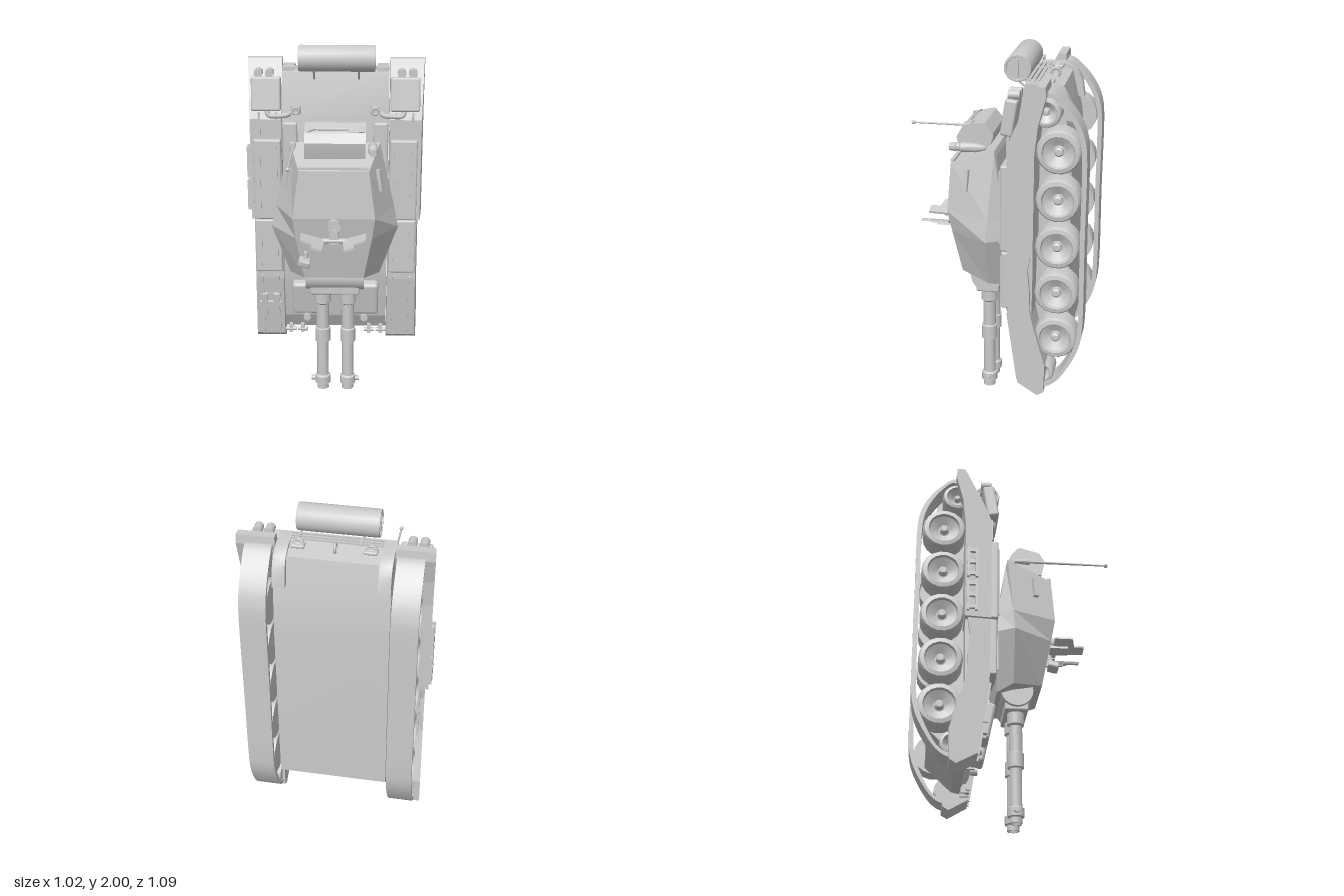
import * as THREE from 'three';
import { toCreasedNormals } from 'three/addons/utils/BufferGeometryUtils.js';
import { RoundedBoxGeometry } from 'three/addons/geometries/RoundedBoxGeometry.js';

export function createModel() {
  const root = new THREE.Group();
  const grey = new THREE.MeshStandardMaterial({ color: 0xcacaca });
  grey.name = 'plain light grey';

  const add = (name, geo, x = 0, y = 0, z = 0, rx = 0, ry = 0, rz = 0) => {
    const m = new THREE.Mesh(geo, grey);
    m.name = name;
    m.position.set(x, y, z);
    m.rotation.set(rx, ry, rz);
    root.add(m);
    return m;
  };
  const box = (w, h, d) => new THREE.BoxGeometry(w, h, d);
  const soft = (w, h, d, r = 0.01) => new RoundedBoxGeometry(w, h, d, 2, r);
  const cyl = (r, h, n = 20, r2 = r) => new THREE.CylinderGeometry(r, r2, h, n);
  const lathe = (pts, n) =>
    toCreasedNormals(new THREE.LatheGeometry(pts.map(p => new THREE.Vector2(...p)), n), 0.6);
  // side profile of [z, y] points, extruded from x0 to x1
  const side = (pts, x0, x1, hole) => {
    const s = new THREE.Shape(pts.map(([z, y]) => new THREE.Vector2(-z, y)));
    if (hole) s.holes.push(new THREE.Path(hole.map(([z, y]) => new THREE.Vector2(-z, y))));
    return new THREE.ExtrudeGeometry(s, { depth: x1 - x0, bevelEnabled: false })
      .rotateY(Math.PI / 2).translate(x0, 0, 0);
  };
  const tube = (pts, r) => new THREE.TubeGeometry(
    new THREE.CatmullRomCurve3(pts.map(p => new THREE.Vector3(...p))), 16, r, 8);
  const H = Math.PI / 2;

  // Hull
  add('hull', toCreasedNormals(side([[-0.45, 0.42], [-0.45, 1.4], [-0.435, 1.6], [-0.385, 1.83], [-0.27, 1.86],
    [-0.19, 1.84], [-0.14, 1.6], [-0.14, 0.68], [-0.15, 0.6], [-0.2, 0.36], [-0.25, 0.27], [-0.3, 0.28]],
  -0.3, 0.3), 0.3));
  for (let i = 0; i < 3; i++) add('rearLouvre', box(0.54, 0.012, 0.012), 0, 1.858, -0.255 + i * 0.025);
  for (const x of [-0.12, 0.2]) add('louvreRib', box(0.015, 0.012, 0.09), x, 1.86, -0.23);
  for (const x of [-0.18, 0.19]) {
    add('rearTowBase', soft(0.07, 0.02, 0.05, 0.008), x, 1.86, -0.315);
    add('rearTowEye', new THREE.TorusGeometry(0.02, 0.008, 8, 14), x, 1.868, -0.3, H);
  }
  add('rearHitch', new THREE.TorusGeometry(0.022, 0.008, 8, 14), 0, 1.865, -0.32, 0, H);

  // Tracks with wheels, fenders and stowage on both sides
  const loop = new THREE.CatmullRomCurve3([[-0.545, 1.08], [-0.545, 1.54], [-0.535, 1.62], [-0.505, 1.7],
    [-0.43, 1.8], [-0.34, 1.862], [-0.27, 1.8], [-0.25, 1.68], [-0.25, 1.0], [-0.25, 0.45], [-0.275, 0.28],
    [-0.33, 0.22], [-0.4, 0.25], [-0.5, 0.4], [-0.535, 0.5], [-0.545, 0.6]]
    .map(([z, y]) => new THREE.Vector3(0, y, z)), true, 'centripetal')
    .getPoints(128).slice(0, 128).map(p => [p.z, p.y]);
  const inner = loop.map(([z, y]) => [-0.398 + (z + 0.398) * 0.83, 1.045 + (y - 1.045) * 0.97]);
  const wheel = lathe([[0, -0.065], [0.117, -0.065], [0.117, 0.045], [0.108, 0.058], [0.086, 0.062],
    [0.08, 0.045], [0.03, 0.02], [0.024, 0.022], [0.024, 0.045], [0.016, 0.052], [0, 0.052]], 18);
  const upper = [[-0.29, 1.9], [-0.335, 1.9], [-0.34, 1.85], [-0.3, 1.7], [-0.283, 1.55], [-0.28, 0.99],
    [-0.14, 0.99], [-0.14, 1.58], [-0.18, 1.68]];
  const lower = [[-0.265, 0.995], [-0.25, 0.9], [-0.262, 0.78], [-0.262, 0.68], [-0.285, 0.58],
    [-0.35, 0.36], [-0.345, 0.2], [-0.31, 0.178], [-0.2, 0.24], [-0.145, 0.62], [-0.14, 0.995]];
  // fender whose outer wall leans inwards towards the top deck
  const fender = (pts, s, x1) => {
    const g = s > 0 ? side(pts, 0.305, x1) : side(pts, -x1, -0.305);
    const p = g.attributes.position;
    for (let i = 0; i < p.count; i++) {
      const x = p.getX(i);
      if (Math.abs(x) > 0.4) p.setX(i, x - s * (p.getZ(i) + 0.35) * 0.1);
    }
    g.computeVertexNormals();
    return g;
  };
  for (const s of [1, -1]) {
    const c = s * 0.385;
    add('track', toCreasedNormals(side(loop, c - 0.07, c + 0.07, inner), 0.5));
    for (let i = 0; i < 5; i++) add('roadWheel', wheel, c, 0.51 + i * 0.26, -0.398, 0, 0, -s * H);
    for (const [y, k] of [[0.3, 0.55], [1.755, 0.68]])
      add('endWheel', wheel, c, y, -0.33, 0, 0, -s * H).scale.set(k, 1, k);
    add('rearFender', fender(upper, s, 0.505));
    add('frontFender', fender(lower, s, 0.488));
    // curved guard wrapping the rear corner of the hull
    const g0 = s > 0 ? 0.235 : -0.3;
    add('rearGuard', toCreasedNormals(side([[-0.2, 1.865], [-0.33, 1.865], [-0.4, 1.84], [-0.435, 1.78], [-0.45, 1.68],
      [-0.42, 1.68], [-0.38, 1.8], [-0.2, 1.83]], g0, g0 + 0.065), 0.7));

    // fender lockers with raised rails
    add('longLocker', soft(0.155, 0.47, 0.05), c, 1.235, -0.125);
    add('shortLocker', soft(0.155, 0.32, 0.045), c, 0.835, -0.128);
    for (const d of [-0.045, 0.05]) {
      add('lockerRail', box(0.012, 0.4, 0.012), c + d, 1.235, -0.097);
      add('lockerRail', box(0.012, 0.25, 0.012), c + d, 0.835, -0.103);
      add('fenderRail', box(0.012, 0.4, 0.014), c + d, 0.44, -0.168, 0.145);
      add('deckRail', box(0.012, 0.13, 0.014), c + d, 1.555, -0.138);
    }
    add('hullLocker', soft(0.08, 0.58, 0.04), s * 0.255, 1.28, -0.12);

    // rear stowage box, launch tubes and pipe
    add('rearBox', soft(0.165, 0.19, 0.065, 0.012), s * 0.388, 1.725, -0.145, -0.16);
    for (const x of [0.368, 0.43]) {
      add('rearTube', cyl(0.024, 0.06, 16), s * x, 1.84, -0.168, H);
      add('rearTubeClamp', box(0.03, 0.04, 0.03), s * x, 1.815, -0.16);
    }
    add('pipe', tube([[s * 0.385, 1.65, -0.13], [s * 0.375, 1.61, -0.12], [s * 0.33, 1.605, -0.12],
      [s * 0.27, 1.61, -0.125], [s * 0.25, 1.62, -0.15]], 0.014));
    add('deckLatch', box(0.055, 0.05, 0.025), s * 0.222, 1.635, -0.135);
    add('deckLatchRing', new THREE.TorusGeometry(0.018, 0.007, 8, 14), s * 0.222, 1.635, -0.115);

    // nose: driver cover, tow hooks, lamp
    add('noseCover', soft(0.155, 0.21, 0.07, 0.02), s * 0.175, 0.505, -0.143, 0.2);
    for (const x of [0.2, 0.27]) {
      add('towHook', box(0.02, 0.05, 0.05), s * x, 0.27, -0.225);
      add('towPin', cyl(0.012, 0.06, 10), s * x, 0.265, -0.21, 0, 0, H);
    }
    add('noseLamp', cyl(0.022, 0.04, 12), s * 0.17, 0.36, -0.18, H);
  }

  // Spare track links on one fender and tools along its outer wall
  add('spareLinks', box(0.13, 0.05, 0.025), -0.385, 0.44, -0.16, 0.145);
  for (const x of [-0.42, -0.35]) add('spareLink', box(0.035, 0.16, 0.03), x, 0.44, -0.157, 0.145);
  for (const y of [1.11, 1.31]) {
    for (const z of [-0.265, -0.22]) add('toolRail', box(0.024, 0.18, 0.014), -0.5, y, z);
    for (const d of [-0.07, 0, 0.07]) add('toolRung', box(0.024, 0.02, 0.06), -0.5, y + d, -0.243);
  }

  // Rear drum on two brackets
  add('drum', lathe([[0, -0.205], [0.058, -0.205], [0.06, -0.213], [0.07, -0.213], [0.073, -0.205],
    [0.073, 0.205], [0.07, 0.213], [0.06, 0.213], [0.058, 0.205], [0, 0.205]], 24), 0.008, 1.925, -0.148, 0, 0, H);
  for (const x of [-0.12, 0.13])
    add('drumBracket', tube([[x, 1.87, -0.11], [x, 1.85, -0.13], [x, 1.82, -0.165], [x, 1.8, -0.19]], 0.006));
  for (const s of [1, -1]) add('drumCapBar', box(0.008, 0.09, 0.012), 0.008 + s * 0.21, 1.925, -0.148);

  // Turret: loft of half cross-sections (base, shoulder, roof) from back to front
  add('turretRing', cyl(0.27, 0.1, 40), 0, 1.07, -0.11, H);
  const rings = [
    [[0.22, 1.45, -0.04], [0.25, 1.48, -0.03], [0.19, 1.385, 0.22]],
    [[0.28, 1.12, -0.085], [0.333, 1.12, -0.008], [0.225, 1.12, 0.235]],
    [[0.3, 1.0, -0.1], [0.357, 1.0, 0], [0.21, 1.0, 0.213]],
    [[0.19, 0.69, -0.085], [0.255, 0.72, 0], [0.165, 0.75, 0.165]],
  ].map(h => [...h.map(([x, y, z]) => [-x, y, z]), ...h.slice().reverse()]);
  const v = [];
  for (let i = 0; i < 3; i++) for (let j = 0; j < 6; j++) {
    const k = (j + 1) % 6, A = rings[i], B = rings[i + 1];
    v.push(...A[j], ...B[j], ...B[k], ...A[j], ...B[k], ...A[k]);
  }
  // end caps as strips across the width
  for (const [R, flip] of [[rings[0], false], [rings[3], true]])
    for (const t of [[0, 1, 4], [0, 4, 5], [1, 2, 3], [1, 3, 4]])
      for (const n of flip ? t.reverse() : t) v.push(...R[n]);
  const tg = new THREE.BufferGeometry();
  tg.setAttribute('position', new THREE.Float32BufferAttribute(v, 3));
  tg.computeVertexNormals();
  add('turret', tg);
  add('roofEdge', box(0.38, 0.012, 0.02), 0, 1.398, 0.21);
  for (const s of [1, -1]) add('turretSlot', box(0.02, 0.12, 0.028), s * 0.249, 1.31, 0.125, 0, -s * 0.33, s * 0.15);

  // Turret bustle bin with a shovel
  add('bustleBin', toCreasedNormals(side([[0.185, 1.5], [0.19, 1.53], [0.165, 1.575], [0.15, 1.587], [0.05, 1.613],
    [0.035, 1.608], [-0.008, 1.555], [-0.01, 1.535], [0.005, 1.49], [0.06, 1.45], [0.17, 1.44]], -0.16, 0.17), 0.5));
  const tilt = 0.25;
  add('shovelShaft', cyl(0.006, 0.2, 8), 0, 1.595, 0.135, 0, 0, H);
  add('shovelBlade', soft(0.085, 0.01, 0.055, 0.004), 0.12, 1.594, 0.135, tilt);
  add('shovelGrip', cyl(0.032, 0.01, 3), -0.125, 1.594, 0.135, tilt, H);

  // Antenna on one side, shell-shaped canister on the other
  add('antennaBase', lathe([[0, 0], [0.01, 0], [0.016, 0.07], [0.016, 0.085], [0, 0.085]], 14), -0.225, 1.485, 0.01, H);
  add('antennaRod', cyl(0.005, 0.45, 8, 0.008), -0.225, 1.485, 0.31, H);
  add('antennaTip', new THREE.SphereGeometry(0.012, 12, 8), -0.225, 1.485, 0.532);
  add('canister', lathe([[0, 0], [0.012, 0.012], [0.025, 0.06], [0.027, 0.14], [0.02, 0.15], [0.02, 0.165],
    [0.025, 0.17], [0.02, 0.205], [0, 0.205]], 16), 0.21, 1.485, 0.015, H);

  // Sight with two open flaps
  add('sightPost', lathe([[0, 0], [0.036, 0], [0.036, 0.05], [0.022, 0.05], [0.022, 0.03], [0, 0.03]], 18),
    0.003, 1.085, 0.222, H);
  add('sightBracket', box(0.05, 0.09, 0.05), 0.003, 1.025, 0.235);
  add('sightHinge', cyl(0.014, 0.13, 12), 0.003, 1.0, 0.25, 0, 0, H);
  for (const s of [1, -1]) {
    const f = new THREE.Shape([[0.055, 0.24], [0.19, 0.24], [0.19, 0.34], [0.125, 0.355], [0.125, 0.41], [0.065, 0.41]]
      .map(([x, z]) => new THREE.Vector2(x * s, -z)));
    add('sightFlap', new THREE.ExtrudeGeometry(f, { depth: 0.012, bevelEnabled: false }).rotateX(-H),
      0, 0.975, 0, 0, 0, s * 0.3);
    add('flapBlock', box(0.06, 0.02, 0.1), s * 0.095, 1.0, 0.27, 0, 0, s * 0.3);
  }

  // Spotlight low on the turret front
  add('spotlightArm', box(0.018, 0.05, 0.06), -0.155, 0.895, 0.195);
  add('spotlight', soft(0.065, 0.04, 0.06), -0.163, 0.865, 0.228, 0.2, 0, -0.3);

  // Mantlet and twin barrels pointing down
  add('mantlet', cyl(0.088, 0.33, 24), 0.002, 0.72, 0.03, 0, 0, H);
  add('mantletLip', soft(0.28, 0.06, 0.13), 0.002, 0.645, 0.03);
  const barrel = lathe([[0, 0.02], [0.024, 0.02], [0.027, 0], [0.034, 0], [0.034, 0.03], [0.045, 0.035], [0.045, 0.08],
    [0.034, 0.088], [0.033, 0.3], [0.044, 0.305], [0.044, 0.385], [0.036, 0.39], [0.036, 0.54], [0.047, 0.55],
    [0.047, 0.64], [0, 0.64]], 20);
  for (const s of [1, -1]) {
    add('barrel', barrel, 0.004 + s * 0.073, 0, 0.03);
    add('muzzleLug', cyl(0.014, 0.03, 10), 0.004 + s * 0.125, 0.06, 0.03, 0, 0, H);
  }
  return root;
}
